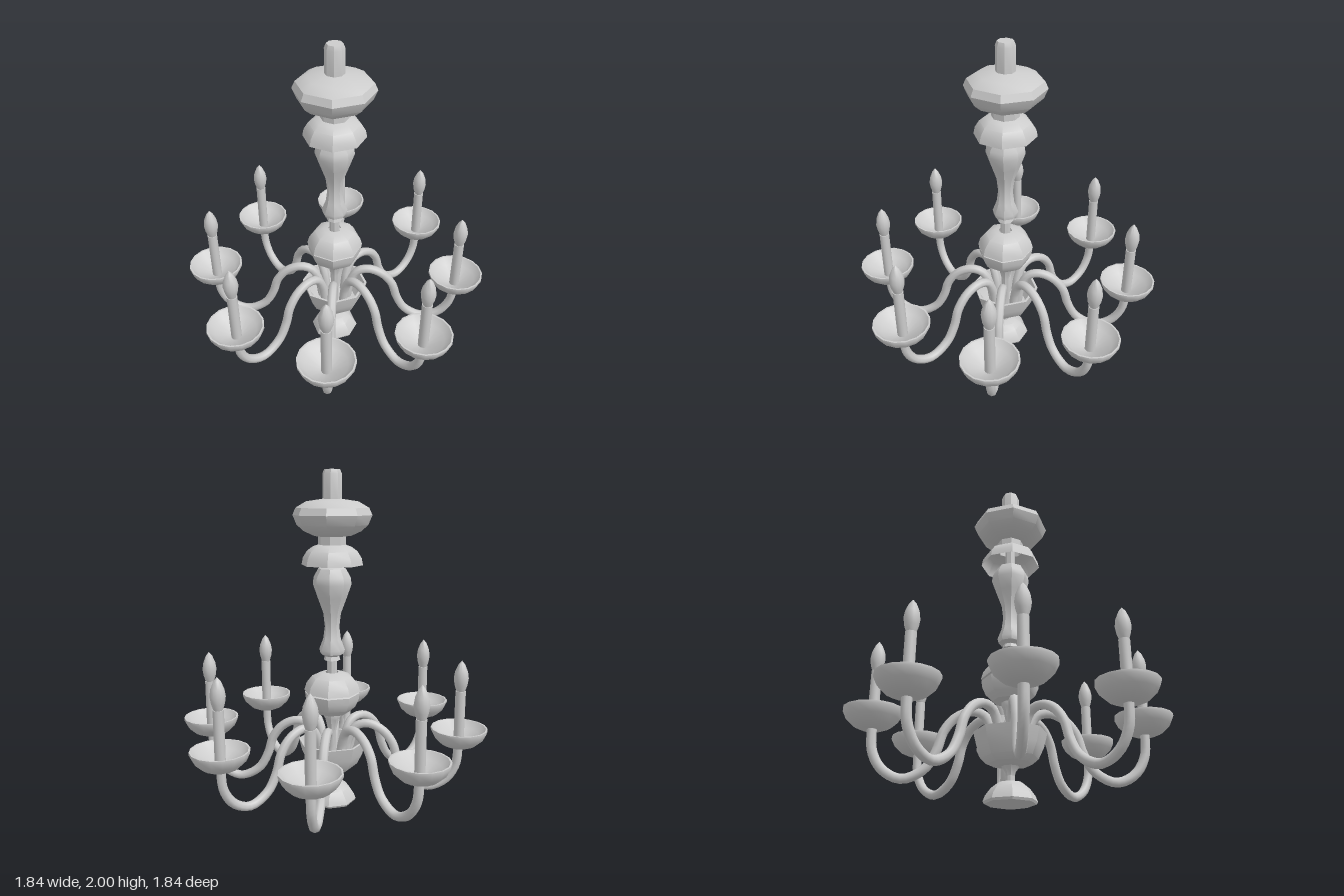
import * as THREE from 'three';
import { toCreasedNormals } from 'three/addons/utils/BufferGeometryUtils.js';

const material = new THREE.MeshStandardMaterial({ color: 0xcccccc, side: THREE.DoubleSide });
const ARMS = 8;
const CUP_RADIUS = 0.755;

// Turned part from [radius, height] pairs, listed from the bottom up
function turned(name, profile, sides, crease) {
  const points = profile.map(([r, y]) => new THREE.Vector2(r, y));
  const geometry = toCreasedNormals(new THREE.LatheGeometry(points, sides), crease);
  const mesh = new THREE.Mesh(geometry, material);
  mesh.name = name;
  return mesh;
}

// Eight-sided parts of the central column
const columnParts = {
  bottomFinial: [[0, 0], [0.06, 0.005], [0.14, 0.022], [0.147, 0.035], [0.135, 0.065], [0.105, 0.105],
    [0.07, 0.132], [0.025, 0.142]],
  lowerBowl: [[0.022, 0.15], [0.028, 0.19], [0.05, 0.22], [0.12, 0.235], [0.155, 0.265], [0.185, 0.33],
    [0.205, 0.41], [0.19, 0.41], [0.17, 0.335], [0.135, 0.28], [0, 0.26]],
  centreRod: [[0.025, 0.13], [0.025, 0.47], [0.04, 0.54], [0.05, 0.56], [0.05, 0.6]],
  ballLower: [[0.04, 0.58], [0.1, 0.59], [0.14, 0.625], [0.16, 0.67], [0.165, 0.71], [0.15, 0.716]],
  ballUpper: [[0.15, 0.716], [0.168, 0.72], [0.155, 0.765], [0.12, 0.81], [0.07, 0.832], [0.04, 0.836]],
  upperRod: [[0.03, 0.82], [0.03, 1.6]],
  baluster: [[0.03, 0.91], [0.05, 0.912], [0.042, 0.935], [0.07, 0.95], [0.076, 0.975], [0.052, 1.04],
    [0.043, 1.11], [0.052, 1.19], [0.085, 1.28], [0.113, 1.36], [0.108, 1.4], [0.08, 1.45], [0.03, 1.47]],
  bell: [[0.178, 1.47], [0.17, 1.51], [0.145, 1.55], [0.11, 1.575], [0.08, 1.585], [0.08, 1.64]],
  canopy: [[0.03, 1.625], [0.11, 1.635], [0.165, 1.66], [0.205, 1.695], [0.228, 1.75], [0.21, 1.79],
    [0.15, 1.825], [0.05, 1.84]],
  topStem: [[0.055, 1.82], [0.055, 1.975], [0.045, 2], [0, 2]],
};

// One arm with its drip dish, candle and bulb, pointing along +x
function makeArm() {
  const arm = new THREE.Group();

  // S-shaped tube rising out of the bowl and swinging up under the dish
  const path = new THREE.CatmullRomCurve3([
    [0.08, 0.3], [0.1, 0.42], [0.145, 0.505], [0.215, 0.525], [0.3, 0.49], [0.365, 0.41], [0.4, 0.3],
    [0.46, 0.2], [0.575, 0.145], [0.68, 0.19], [0.742, 0.29], [CUP_RADIUS, 0.43],
  ].map(([x, y]) => new THREE.Vector3(x, y, 0)));
  const tube = new THREE.Mesh(new THREE.TubeGeometry(path, 40, 0.027, 8), material);
  tube.name = 'curvedArm';

  const dish = turned('dripDish', [[0, 0.41], [0.065, 0.412], [0.105, 0.43], [0.145, 0.468], [0.165, 0.51],
    [0.165, 0.525], [0.155, 0.525], [0.12, 0.485], [0.03, 0.44]], 16, 0.6);
  const candle = turned('candle', [[0.03, 0.42], [0.03, 0.75], [0, 0.75]], 12, 0.7);
  const bulb = turned('flameBulb', [[0.025, 0.748], [0.037, 0.785], [0.043, 0.825], [0.037, 0.865],
    [0.02, 0.907], [0, 0.932]], 12, 0.9);
  for (const part of [dish, candle, bulb]) part.position.x = CUP_RADIUS;

  arm.add(tube, dish, candle, bulb);
  return arm;
}

export function createModel() {
  const model = new THREE.Group();
  model.name = 'chandelier';

  const column = new THREE.Group();
  column.name = 'centralColumn';
  for (const [name, profile] of Object.entries(columnParts)) column.add(turned(name, profile, 8, 0.55));
  model.add(column);

  // Eight equal arms around the column
  const arm = makeArm();
  for (let i = 0; i < ARMS; i++) {
    const copy = arm.clone();
    copy.name = `arm${i + 1}`;
    copy.rotation.y = (i / ARMS) * Math.PI * 2;
    model.add(copy);
  }
  return model;
}
